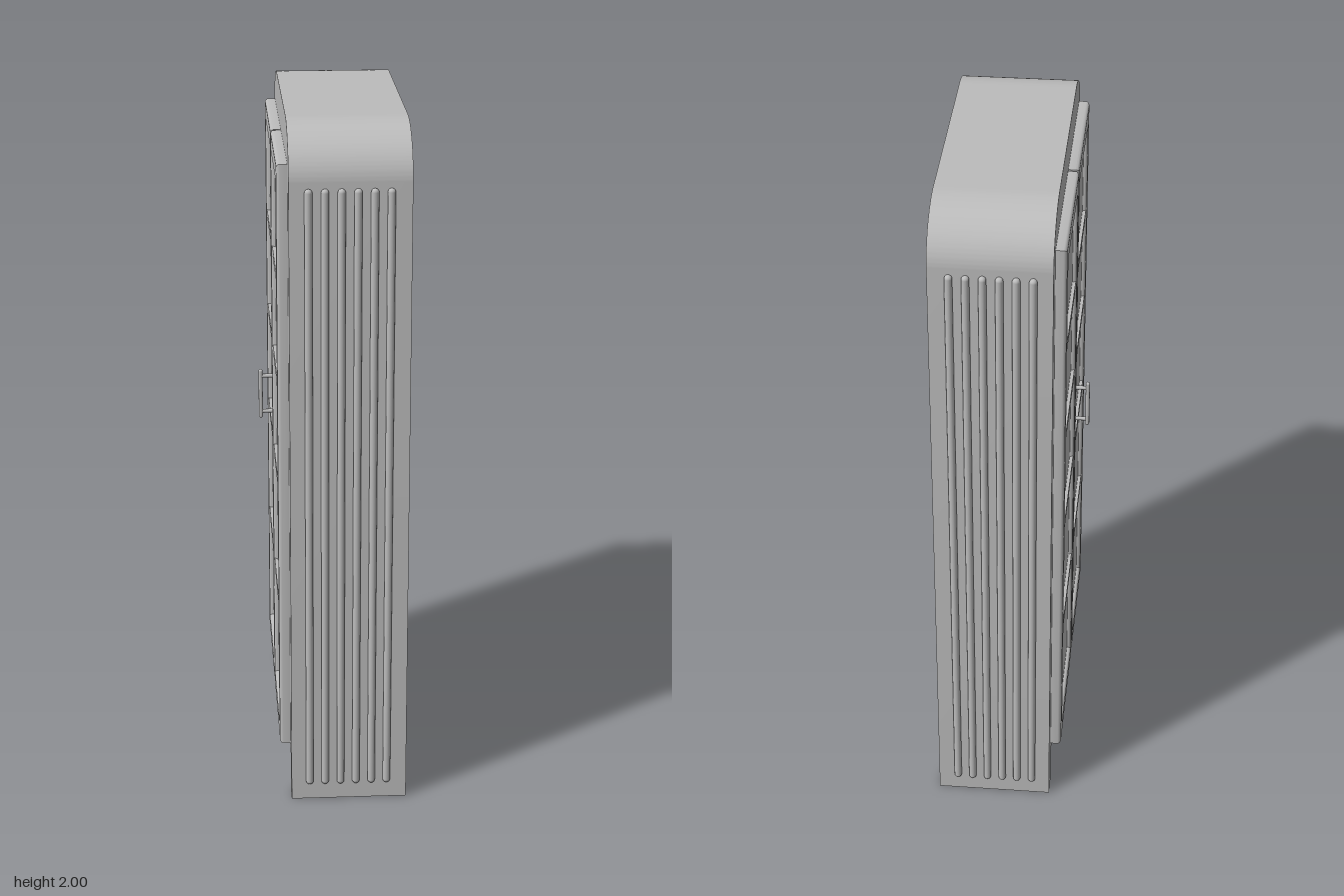
import * as THREE from 'three';
import { toCreasedNormals } from 'three/addons/utils/BufferGeometryUtils.js';
import { RoundedBoxGeometry } from 'three/addons/geometries/RoundedBoxGeometry.js';

const grey = new THREE.MeshStandardMaterial({ color: 0xbcbcbc });
grey.name = 'grey';

function add(parent, name, geometry, x = 0, y = 0, z = 0) {
  const mesh = new THREE.Mesh(geometry, grey);
  mesh.name = name;
  mesh.position.set(x, y, z);
  parent.add(mesh);
  return mesh;
}

// Extrude a (z, y) outline from xBack towards -x
function extrudeSideways(shape, xBack, options) {
  const geometry = new THREE.ExtrudeGeometry(shape, options);
  geometry.rotateY(-Math.PI / 2).translate(xBack, 0, 0);
  return toCreasedNormals(geometry, 0.5);
}

function rectangle(Type, z0, z1, y0, y1) {
  const path = new Type();
  path.moveTo(z0, y0);
  path.lineTo(z1, y0);
  path.lineTo(z1, y1);
  path.lineTo(z0, y1);
  path.closePath();
  return path;
}

// Carcass with rounded shoulders and a cut-out between the feet
function buildBody() {
  const w = 0.484, rx = 0.18, ry = 0.15;
  const shape = new THREE.Shape();
  shape.moveTo(-w, 0);
  shape.lineTo(-0.425, 0);
  shape.lineTo(-0.425, 0.12);
  shape.lineTo(0.43, 0.12);
  shape.lineTo(0.43, 0);
  shape.lineTo(w, 0);
  shape.lineTo(w, 2 - ry);
  shape.absellipse(w - rx, 2 - ry, rx, ry, 0, Math.PI / 2, false);
  shape.lineTo(-w + rx, 2);
  shape.absellipse(-w + rx, 2 - ry, rx, ry, Math.PI / 2, Math.PI, false);
  shape.closePath();
  return extrudeSideways(shape, 0.202, { depth: 0.336, bevelEnabled: false, curveSegments: 20 });
}

// Door: rounded frame, sunk panel and four cross rails
function buildDoor(name, z0, z1, p0, p1) {
  const door = new THREE.Group();
  door.name = name;
  const b = 0.01, bottom = 0.155, top = 1.895;
  const outline = rectangle(THREE.Shape, z0, z1, bottom, top);
  outline.holes.push(rectangle(THREE.Path, p0, p1, 0.205, 1.835));
  add(door, 'doorFrame', extrudeSideways(outline, -0.125, {
    depth: 0.03, bevelThickness: b, bevelSize: b, bevelOffset: -b, bevelSegments: 4,
  }));
  const mid = (p0 + p1) / 2, width = p1 - p0 + 0.015;
  add(door, 'doorPanel', new THREE.BoxGeometry(0.02, 1.65, width), -0.143, 1.02, mid);
  for (const y of [0.57, 0.94, 1.25, 1.55]) {
    add(door, 'doorRail', new THREE.BoxGeometry(0.02, 0.022, width), -0.153, y, mid);
  }
  return door;
}

export function createModel() {
  const model = new THREE.Group();
  model.name = 'cabinet';
  add(model, 'body', buildBody());

  model.add(buildDoor('plainDoor', -0.43, 0.004, -0.375, -0.035));
  model.add(buildDoor('handleDoor', 0.012, 0.43, 0.045, 0.375));

  // Vertical ribs on both ends
  const rib = new THREE.CapsuleGeometry(0.011, 1.768, 6, 14);
  for (const side of [-1, 1]) {
    for (let i = 0; i < 6; i++) {
      add(model, 'rib', rib, -0.081 + i * 0.045, 0.945, side * 0.489);
    }
  }

  // Bar handle on two posts
  const handle = new THREE.Group();
  handle.name = 'handle';
  add(handle, 'handleBar', new RoundedBoxGeometry(0.012, 0.15, 0.014, 3, 0.005), -0.2, 1.105, 0.025);
  for (const y of [1.05, 1.16]) {
    const post = add(handle, 'handlePost', new THREE.CylinderGeometry(0.006, 0.006, 0.04, 12), -0.18, y, 0.025);
    post.rotation.z = Math.PI / 2;
  }
  model.add(handle);
  return model;
}
